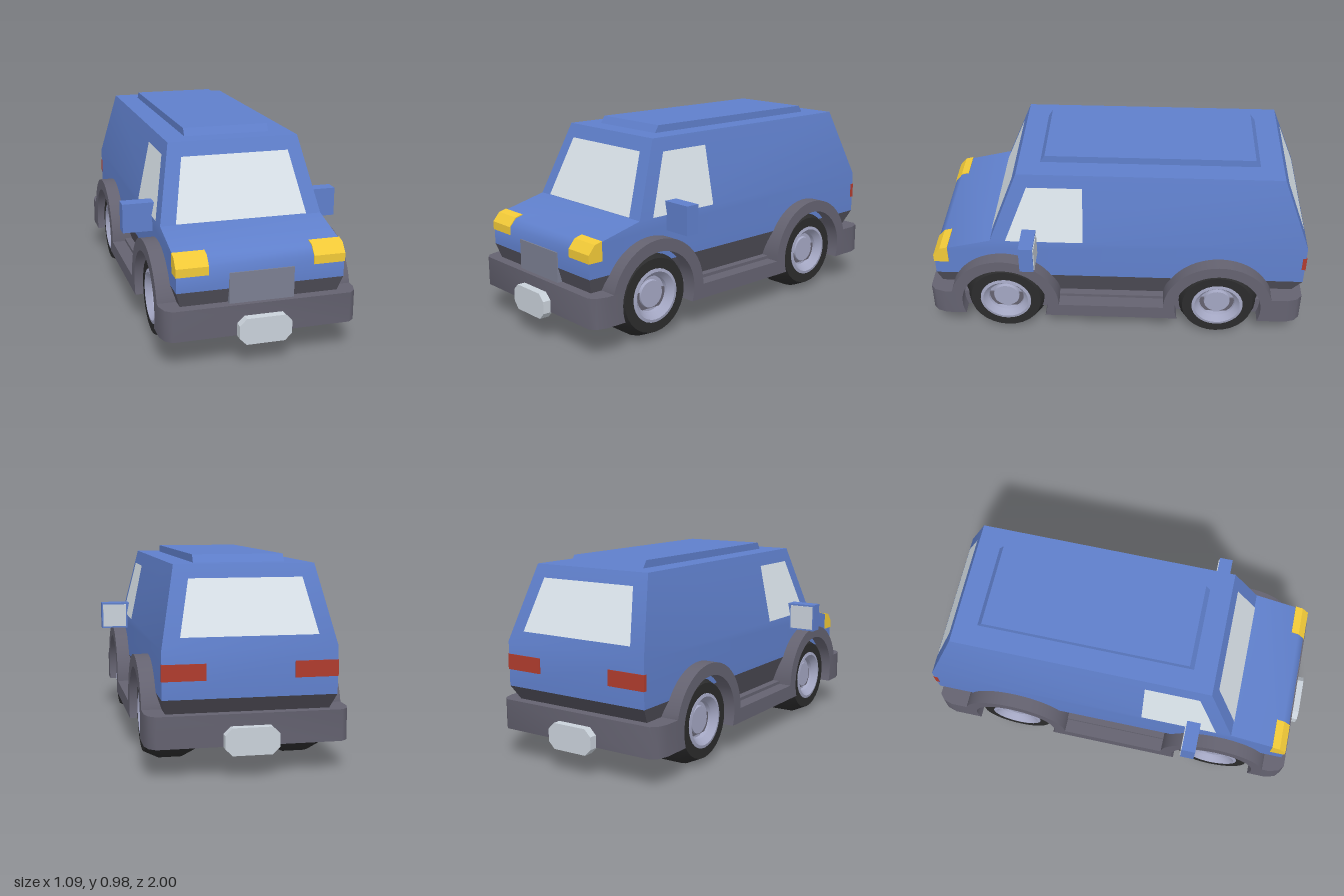
import * as THREE from 'three';
import { mergeGeometries, toCreasedNormals } from 'three/addons/utils/BufferGeometryUtils.js';

const mat = (color) => new THREE.MeshStandardMaterial({ color });
const MAT = {
  paint: mat(0x5f7fcb), trim: mat(0x646270), sill: mat(0x53515c), grille: mat(0x7b7f92),
  glass: mat(0xdce5ec), lamp: mat(0xf2ca38), tail: mat(0xb03c2e),
  tyre: mat(0x2b2b2c), rim: mat(0xa3a6c2), plate: mat(0xc9d1da),
};
MAT.glass.side = THREE.DoubleSide;

const BELT = 0.585, ROOF = 0.947, HALF = 0.4, ROOF_HALF = 0.325;
const sideX = (y) => HALF - (HALF - ROOF_HALF) * (y - BELT) / (ROOF - BELT);
const shieldZ = (y) => 0.635 - 0.145 * (y - BELT) / (ROOF - BELT);
const tailZ = (y) => -0.96 + 0.14 * (y - BELT) / (ROOF - BELT);

const shapeOf = (pts) => new THREE.Shape(pts.map(([a, b]) => new THREE.Vector2(a, b)));

// Extrudes a side outline (z, y) across the model from x0 to x1
function across(shape, x0, x1) {
  const g = new THREE.ExtrudeGeometry(shape, { depth: x1 - x0, bevelEnabled: false, curveSegments: 14 });
  return g.rotateY(-Math.PI / 2).translate(x1, 0, 0);
}

// Sets the half width of a geometry as a function of height
function taper(g, widthAt) {
  const p = g.attributes.position;
  for (let i = 0; i < p.count; i++) p.setX(i, Math.sign(p.getX(i)) * widthAt(p.getY(i)));
  g.computeVertexNormals();
  return g;
}

// Flat four-cornered pane, lifted slightly off the surface beneath
function pane(a, b, c, d) {
  const v = [a, b, c, d].map((p) => new THREE.Vector3(...p));
  const n = v[1].clone().sub(v[0]).cross(v[2].clone().sub(v[0])).setLength(0.004);
  v.forEach((p) => p.add(n));
  const g = new THREE.BufferGeometry().setFromPoints([0, 1, 2, 0, 2, 3].map((i) => v[i]));
  g.computeVertexNormals();
  return g;
}

export function createModel() {
  const model = new THREE.Group();
  model.name = 'van';
  const add = (name, geometry, material, parent = model) => {
    const mesh = new THREE.Mesh(geometry, material);
    mesh.name = name;
    parent.add(mesh);
    return mesh;
  };

  // Painted body: nose and flanks below the belt line, tapered cabin above
  const lower = across(shapeOf([[0.93, 0.365], [0.93, 0.48], [0.895, 0.52], [0.635, BELT],
    [-0.96, BELT], [-0.96, 0.365]]), -HALF, HALF);
  const cabin = taper(across(shapeOf([[0.635, BELT], [0.49, ROOF], [-0.82, ROOF], [-0.96, BELT]]),
    -HALF, HALF), sideX);
  add('body', toCreasedNormals(mergeGeometries([lower, cabin]), 0.75), MAT.paint);

  // Dark lower body, narrowing downwards
  const sill = across(shapeOf([[0.93, 0.366], [0.908, 0.29], [0.88, 0.2], [-0.87, 0.2],
    [-0.91, 0.29], [-0.96, 0.366]]), -HALF, HALF);
  add('lowerBody', taper(sill, (y) => HALF - 0.3 * (0.366 - y)), MAT.sill);

  // Raised roof panel with sloped ends
  add('roofPanel', across(shapeOf([[0.385, 0.94], [0.358, 0.983], [-0.682, 0.983], [-0.712, 0.94]]),
    -0.215, 0.215), MAT.paint);

  // Floor
  add('floor', new THREE.BoxGeometry(0.8, 0.09, 1.7).translate(0, 0.191, 0), MAT.trim);

  // Bumpers with rounded corners, and number plates
  for (const [end, s, inner] of [['front', 1, 0.8], ['rear', -1, 0.758]]) {
    const half = [[0.47, inner], [0.47, 0.885], [0.455, 0.935], [0.425, 0.96]];
    const outline = [...half, ...half.map(([x, z]) => [-x, z]).reverse()].map(([x, z]) => [x, z * s]);
    const bumper = new THREE.ExtrudeGeometry(shapeOf(outline), { depth: 0.147, bevelEnabled: false });
    add(end + 'Bumper', toCreasedNormals(bumper.rotateX(Math.PI / 2).translate(0, 0.293, 0), 0.75), MAT.trim);

    const plate = shapeOf([[-0.125, 0.145], [-0.092, 0.112], [0.092, 0.112], [0.125, 0.145],
      [0.125, 0.205], [0.092, 0.238], [-0.092, 0.238], [-0.125, 0.205]]);
    const plateGeo = new THREE.ExtrudeGeometry(plate, { depth: 0.05, bevelEnabled: false });
    add(end + 'Plate', plateGeo.translate(0, 0, s > 0 ? 0.95 : -1), MAT.plate);
  }

  // Grille
  add('grille', new THREE.BoxGeometry(0.31, 0.15, 0.05).translate(0, 0.365, 0.911), MAT.grille);

  // Windscreen and rear window
  add('windscreen', pane([-0.325, 0.587, shieldZ(0.587)], [0.325, 0.587, shieldZ(0.587)],
    [0.267, 0.88, shieldZ(0.88)], [-0.267, 0.88, shieldZ(0.88)]), MAT.glass);
  add('rearWindow', pane([0.315, 0.635, tailZ(0.635)], [-0.315, 0.635, tailZ(0.635)],
    [-0.262, 0.885, tailZ(0.885)], [0.262, 0.885, tailZ(0.885)]), MAT.glass);

  // Side skirt outline: sill strip with a raised arch over each wheel
  const WHEEL_Y = 0.218, FRONT_Z = 0.575, REAR_Z = -0.53;
  const skirt = new THREE.Shape();
  skirt.moveTo(0.846, 0.146);
  skirt.lineTo(0.846, 0.29);
  skirt.absarc(FRONT_Z, 0.22, 0.282, 0.25, Math.PI, false);
  skirt.absarc(REAR_Z, 0.22, 0.282, 0, Math.PI - 0.25, false);
  skirt.lineTo(-0.802, 0.146);
  skirt.absarc(REAR_Z, 0.22, 0.222, Math.PI + 0.34, -0.34, true);
  skirt.absarc(FRONT_Z, 0.22, 0.222, Math.PI + 0.34, -0.34, true);

  // Wheel profiles (radius, distance outwards)
  const lathe = (pts) => toCreasedNormals(new THREE.LatheGeometry(
    pts.map(([r, y]) => new THREE.Vector2(r, y)), 28).rotateZ(-Math.PI / 2), 0.5);
  const tyreGeo = lathe([[0, -0.128], [0.183, -0.128], [0.217, -0.055], [0.217, 0.055],
    [0.183, 0.127], [0.128, 0.127], [0.128, 0.05]]);
  const rimGeo = lathe([[0.133, 0.1], [0.133, 0.13], [0.118, 0.133], [0.092, 0.105],
    [0.088, 0.085], [0.07, 0.085], [0.066, 0.1], [0, 0.1]]);

  // Parts repeated on both sides
  for (const [name, s] of [['left', 1], ['right', -1]]) {
    const span = (a, b) => (s > 0 ? [a, b] : [-b, -a]);

    add(name + 'Skirt', toCreasedNormals(across(skirt, ...span(0.35, 0.47)), 0.5), MAT.trim);

    // Front side window follows the windscreen slope
    const corners = [[0.557, 0.587], [0.165, 0.587], [0.165, 0.88], [0.44, 0.88]]
      .map(([z, y]) => [s * sideX(y), y, z]);
    add(name + 'Window', pane(...(s > 0 ? corners : corners.reverse())), MAT.glass);

    // Headlight wraps over the nose edge
    add(name + 'Headlight', across(shapeOf([[0.858, 0.44], [0.934, 0.44], [0.934, 0.481],
      [0.898, 0.524], [0.858, 0.534]]), ...span(0.25, 0.403)), MAT.lamp);

    // Tail light
    add(name + 'TailLight', new THREE.BoxGeometry(0.2, 0.075, 0.02)
      .translate(s * 0.302, 0.485, -0.954), MAT.tail);

    // Door mirror
    add(name + 'Mirror', new THREE.BoxGeometry(0.155, 0.143, 0.07)
      .translate(s * 0.467, 0.583, 0.435), MAT.paint);
    add(name + 'MirrorGlass', new THREE.BoxGeometry(0.13, 0.125, 0.006)
      .translate(s * 0.473, 0.583, 0.399), MAT.plate);

    // Wheels
    for (const [end, z] of [['Front', FRONT_Z], ['Rear', REAR_Z]]) {
      const wheel = new THREE.Group();
      wheel.name = name + end + 'Wheel';
      wheel.position.set(s * 0.308, WHEEL_Y, z);
      wheel.rotation.y = s > 0 ? 0 : Math.PI;
      add('tyre', tyreGeo, MAT.tyre, wheel);
      add('rim', rimGeo, MAT.rim, wheel);
      model.add(wheel);
    }
  }
  return model;
}
